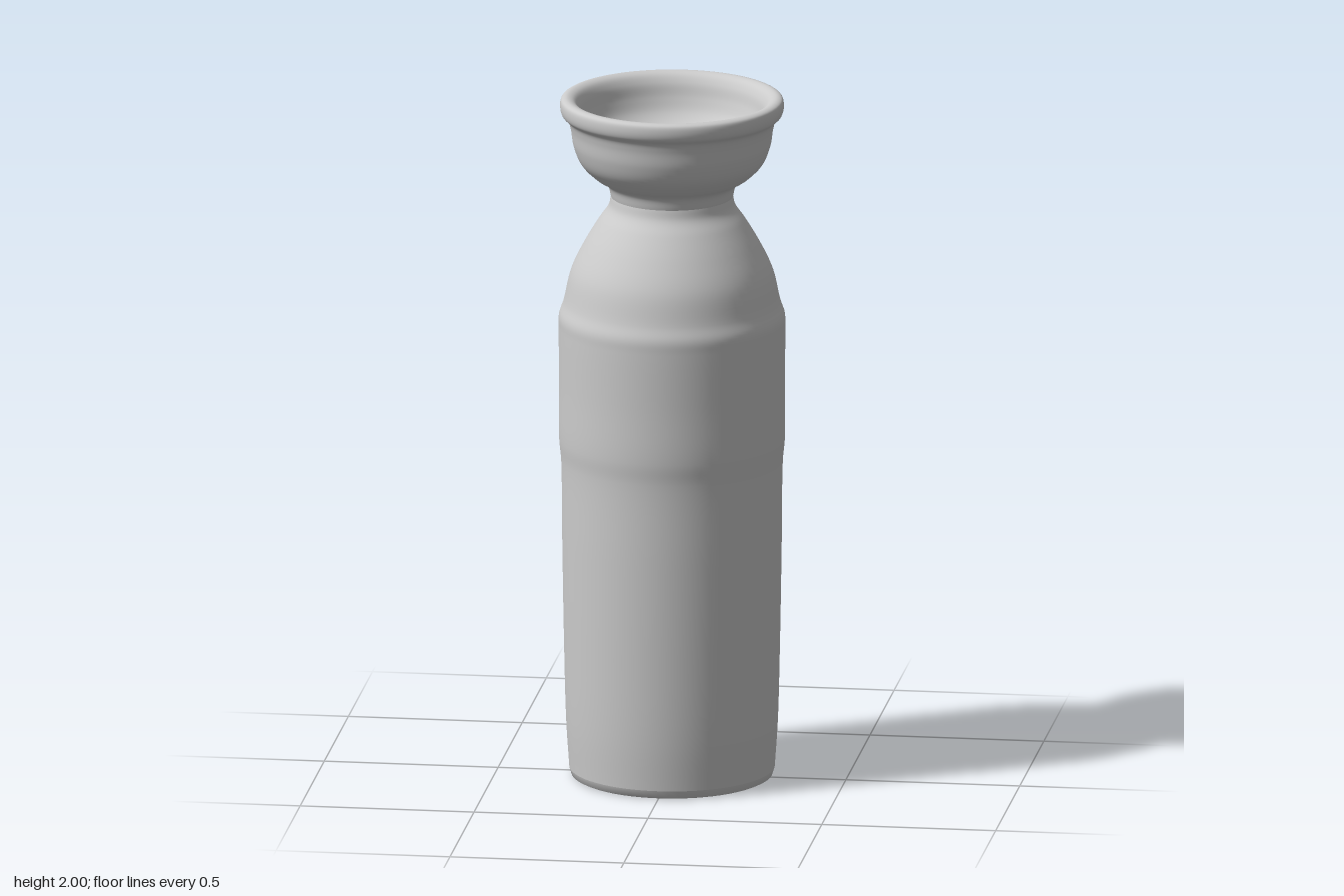
import * as THREE from 'three';

// Smooth a list of [radius, height] points into a denser lathe profile
function smoothProfile(points, divisions) {
  const curve = new THREE.CatmullRomCurve3(
    points.map(([r, y]) => new THREE.Vector3(r, y, 0)), false, 'centripetal');
  return curve.getPoints(divisions).map(p => new THREE.Vector2(Math.max(p.x, 0), p.y));
}

export function createModel() {
  const group = new THREE.Group();
  group.name = 'bottle';
  const material = new THREE.MeshStandardMaterial({ color: 0xcccccc, side: THREE.DoubleSide });

  const addLathe = (name, profile) => {
    const mesh = new THREE.Mesh(new THREE.LatheGeometry(profile, 64), material);
    mesh.name = name;
    group.add(mesh);
  };

  // Flat underside with a small rounded foot
  addLathe('base', [[0, 0.005], [0.277, 0.005], [0.287, 0.01], [0.293, 0.03]]
    .map(([r, y]) => new THREE.Vector2(r, y)));

  // Tall, slightly flaring body with a low band, then shoulder and narrow neck
  addLathe('body', smoothProfile([
    [0.293, 0.03], [0.302, 0.17], [0.308, 0.4], [0.313, 0.7], [0.316, 0.93],
    [0.322, 1.0], [0.322, 1.15], [0.323, 1.32], [0.322, 1.36], [0.309, 1.4],
    [0.288, 1.49], [0.25, 1.57], [0.208, 1.64], [0.181, 1.68], [0.174, 1.71],
  ], 90));

  // Cup-shaped mouth: outer wall, rolled rim, inner wall and shallow closed floor
  addLathe('cup', smoothProfile([
    [0.174, 1.71], [0.185, 1.745], [0.222, 1.77], [0.261, 1.81], [0.281, 1.86],
    [0.289, 1.91], [0.297, 1.935], [0.314, 1.952], [0.319, 1.975], [0.315, 1.994],
    [0.3, 2.0], [0.28, 1.993], [0.264, 1.97], [0.253, 1.93], [0.235, 1.89],
    [0.2, 1.86], [0.12, 1.84], [0, 1.832],
  ], 110));

  return group;
}
